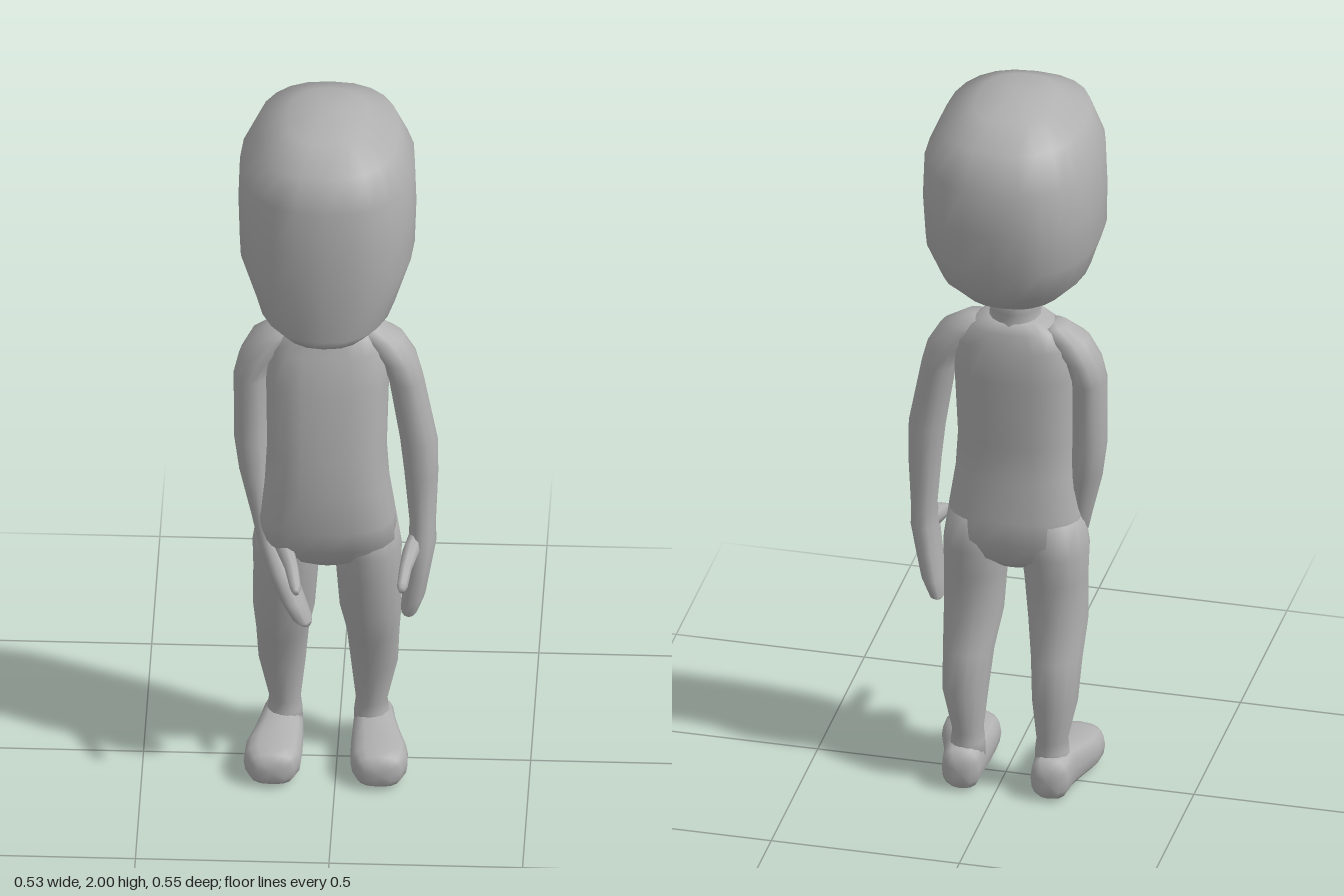
import * as THREE from 'three';

const AXIS = -0.025; // body's own centre line

const skin = new THREE.MeshStandardMaterial({ color: 0xb0b0b0 });
skin.name = 'plainGrey';

// Loft of superellipse rings. Section: [x, y, z, halfWidth, halfDepth, tiltDegrees].
// Tilt 0 is a level ring (list from top down); 90 faces +z (list from back to front).
function loft(name, sections, { sides = 16, power = 2, tilt = 0 } = {}) {
  const pos = [], index = [];
  const bend = (v) => Math.sign(v) * Math.abs(v) ** (2 / power);
  for (const [x, y, z, a, b, t = tilt] of sections) {
    const r = THREE.MathUtils.degToRad(t);
    for (let j = 0; j < sides; j++) {
      const q = (j / sides) * Math.PI * 2;
      const u = a * bend(Math.cos(q)), v = b * bend(Math.sin(q));
      pos.push(x + u, y + v * Math.sin(r), z + v * Math.cos(r));
    }
  }
  const n = sections.length;
  for (let i = 0; i < n - 1; i++) {
    for (let j = 0; j < sides; j++) {
      const k = (j + 1) % sides, p = i * sides, q = p + sides;
      index.push(p + j, p + k, q + k, p + j, q + k, q + j);
    }
  }
  // End caps
  const first = n * sides, last = first + 1, base = (n - 1) * sides;
  pos.push(...sections[0].slice(0, 3), ...sections[n - 1].slice(0, 3));
  for (let j = 0; j < sides; j++) {
    const k = (j + 1) % sides;
    index.push(first, k, j, last, base + j, base + k);
  }
  const g = new THREE.BufferGeometry();
  g.setAttribute('position', new THREE.Float32BufferAttribute(pos, 3));
  g.setIndex(index);
  g.computeVertexNormals();
  const mesh = new THREE.Mesh(g, skin);
  mesh.name = name;
  return mesh;
}

export function createModel() {
  const model = new THREE.Group();
  model.name = 'figure';

  // Head: flat face, rounded skull, jaw lower at the front
  model.add(loft('head', [
    [AXIS, 2.0, 0, 0.04, 0.05],
    [AXIS, 1.988, 0.01, 0.105, 0.135],
    [AXIS, 1.945, 0.01, 0.185, 0.23],
    [AXIS, 1.85, 0, 0.226, 0.265],
    [AXIS, 1.73, 0, 0.23, 0.274],
    [AXIS, 1.61, 0.01, 0.226, 0.265],
    [AXIS, 1.49, 0.02, 0.182, 0.248, 8],
    [AXIS, 1.44, 0.05, 0.135, 0.2, 4],
    [AXIS, 1.405, 0.05, 0.085, 0.12, 2],
    [AXIS, 1.39, 0.02, 0.05, 0.06],
  ].map((s) => (s.length > 5 ? [...s.slice(0, 5), -s[5]] : s)), { sides: 24, power: 2.4 }));

  // Neck and torso
  model.add(loft('neck', [
    [AXIS, 1.46, 0, 0.075, 0.085],
    [AXIS, 1.39, 0.005, 0.066, 0.073],
    [AXIS, 1.355, 0, 0.068, 0.073],
    [AXIS, 1.3, 0, 0.1, 0.08],
  ]));
  model.add(loft('torso', [
    [AXIS, 1.365, 0, 0.068, 0.07],
    [AXIS, 1.335, 0, 0.12, 0.08],
    [AXIS, 1.29, 0, 0.155, 0.092],
    [AXIS, 1.2, 0.013, 0.16, 0.113],
    [AXIS, 1.0, 0.033, 0.155, 0.118],
    [AXIS, 0.9, 0.037, 0.162, 0.12],
    [AXIS, 0.79, 0.03, 0.178, 0.13],
    [AXIS, 0.72, 0.022, 0.182, 0.118],
    [AXIS, 0.665, 0.015, 0.14, 0.09],
    [AXIS, 0.63, 0.01, 0.05, 0.05],
  ], { sides: 20, power: 2.5 }));

  // Legs and shoes
  for (const [side, s] of [['right', -1], ['left', 1]]) {
    const x = (d) => AXIS + s * d;
    model.add(loft(side + 'Leg', [
      [x(0.098), 0.78, 0.015, 0.08, 0.1],
      [x(0.103), 0.68, 0.015, 0.09, 0.1],
      [x(0.107), 0.6, 0.012, 0.084, 0.087],
      [x(0.112), 0.48, 0.01, 0.08, 0.073],
      [x(0.117), 0.38, -0.025, 0.068, 0.072],
      [x(0.119), 0.27, -0.052, 0.061, 0.062],
      [x(0.112), 0.15, -0.055, 0.041, 0.042],
      [x(0.112), 0.12, -0.055, 0.045, 0.045],
      [x(0.115), 0.06, -0.055, 0.05, 0.055],
    ], { sides: 14 }));
    model.add(loft(side + 'Foot', [
      [x(0.117), 0.05, -0.13, 0.032, 0.04],
      [x(0.118), 0.056, -0.11, 0.05, 0.056],
      [x(0.12), 0.062, -0.05, 0.056, 0.062],
      [x(0.126), 0.057, 0, 0.064, 0.057],
      [x(0.136), 0.053, 0.06, 0.074, 0.053],
      [x(0.138), 0.052, 0.11, 0.074, 0.052],
      [x(0.138), 0.048, 0.142, 0.06, 0.046],
      [x(0.138), 0.045, 0.158, 0.038, 0.032],
    ], { power: 2.7, tilt: 90 }));
  }

  // Arms: the right hand swings across the front, the left one hangs straight
  model.add(loft('rightArm', [
    [-0.13, 1.345, 0, 0.035, 0.04],
    [-0.165, 1.31, 0, 0.058, 0.058],
    [-0.205, 1.25, 0.003, 0.048, 0.065],
    [-0.222, 1.19, 0.005, 0.045, 0.062],
    [-0.22, 1.0, 0.015, 0.046, 0.054],
    [-0.21, 0.9, 0.022, 0.042, 0.05],
    [-0.187, 0.77, 0.042, 0.032, 0.042],
    [-0.172, 0.72, 0.06, 0.034, 0.05],
    [-0.145, 0.65, 0.09, 0.036, 0.056],
    [-0.112, 0.57, 0.115, 0.032, 0.052],
    [-0.085, 0.515, 0.128, 0.026, 0.038],
    [-0.076, 0.498, 0.13, 0.015, 0.022],
  ], { sides: 12 }));
  model.add(loft('rightThumb', [
    [-0.16, 0.71, 0.05, 0.025, 0.03],
    [-0.13, 0.71, 0.11, 0.024, 0.026],
    [-0.11, 0.69, 0.17, 0.018, 0.018],
    [-0.098, 0.668, 0.225, 0.015, 0.016],
    [-0.096, 0.663, 0.24, 0.008, 0.009],
  ], { sides: 8, tilt: 90 }));
  model.add(loft('leftArm', [
    [0.08, 1.345, 0, 0.035, 0.04],
    [0.115, 1.31, 0, 0.058, 0.058],
    [0.158, 1.25, 0.003, 0.05, 0.065],
    [0.178, 1.19, 0.005, 0.046, 0.062],
    [0.212, 1.0, 0.012, 0.049, 0.052],
    [0.218, 0.9, 0.014, 0.044, 0.05],
    [0.222, 0.75, 0.022, 0.034, 0.046],
    [0.222, 0.7, 0.03, 0.036, 0.058],
    [0.212, 0.62, 0.034, 0.032, 0.06],
    [0.2, 0.54, 0.036, 0.03, 0.056],
    [0.188, 0.49, 0.036, 0.022, 0.046],
    [0.185, 0.48, 0.036, 0.012, 0.03],
  ], { sides: 12 }));
  model.add(loft('leftThumb', [
    [0.208, 0.705, 0.03, 0.024, 0.03],
    [0.195, 0.7, 0.085, 0.022, 0.025],
    [0.182, 0.675, 0.14, 0.016, 0.018],
    [0.176, 0.65, 0.182, 0.014, 0.016],
    [0.175, 0.645, 0.192, 0.008, 0.009],
  ], { sides: 8, tilt: 90 }));

  return model;
}
